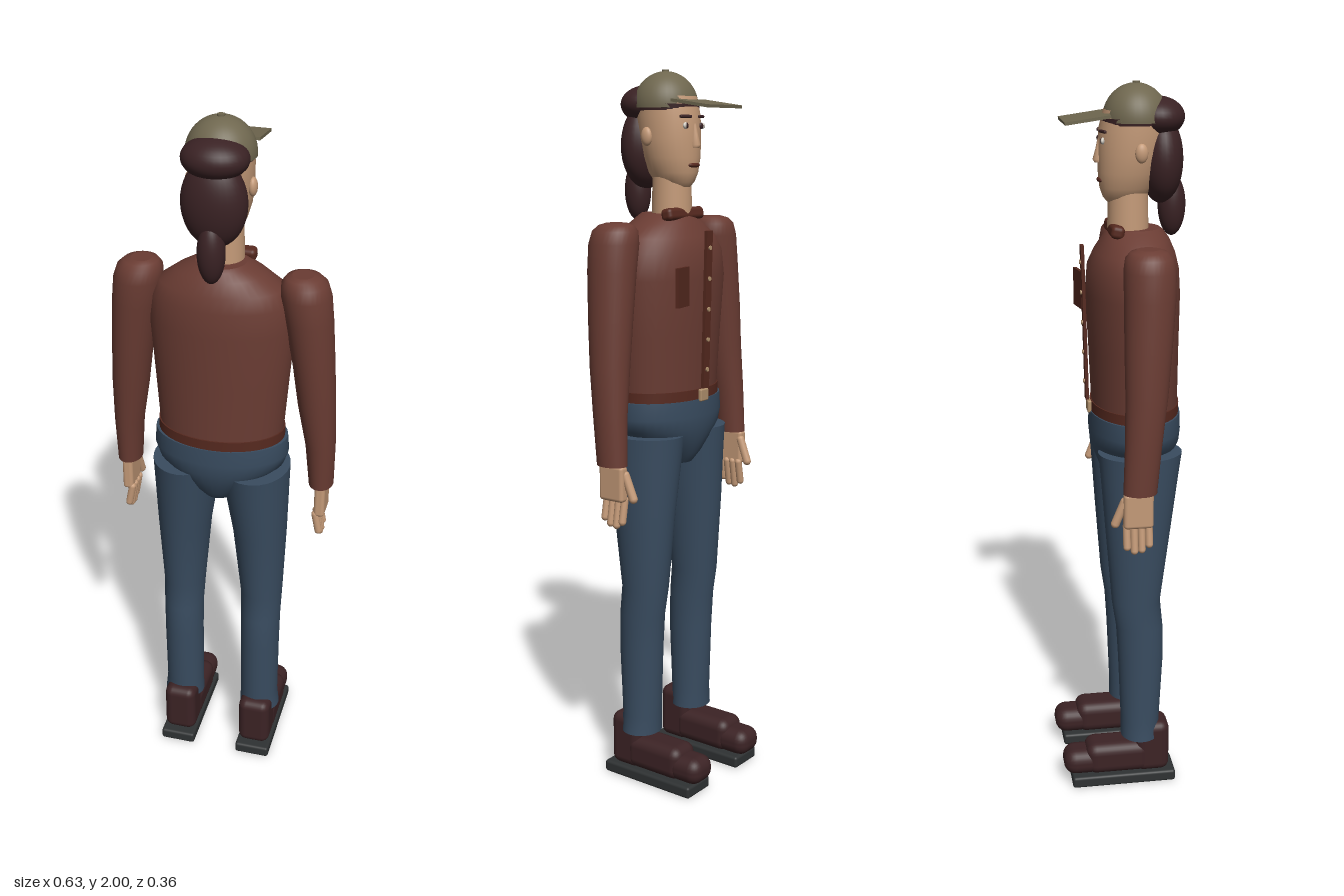
import * as THREE from 'three';
import { RoundedBoxGeometry } from 'three/addons/geometries/RoundedBoxGeometry.js';

const mat = (name, color) => {
  const m = new THREE.MeshStandardMaterial({ color });
  m.name = name;
  return m;
};

// Closed body of elliptical rings [y, centreX, centreZ, radiusX, radiusZ], bottom to top
function loft(rings, n = 32) {
  const pos = [], idx = [];
  const addRing = ([y, cx, cz, rx, rz]) => {
    for (let i = 0; i < n; i++) {
      const a = (i / n) * Math.PI * 2;
      pos.push(cx + rx * Math.cos(a), y, cz + rz * Math.sin(a));
    }
  };
  rings.forEach(addRing);
  for (let j = 0; j < rings.length - 1; j++) {
    for (let i = 0; i < n; i++) {
      const k = (i + 1) % n, a = j * n + i, c = j * n + k;
      idx.push(a, a + n, c, c, a + n, c + n);
    }
  }
  // flat end caps with their own vertices
  [rings[0], rings[rings.length - 1]].forEach((r, top) => {
    const base = pos.length / 3;
    addRing(r);
    pos.push(r[1], r[0], r[2]);
    for (let i = 0; i < n; i++) {
      const k = (i + 1) % n;
      if (top) idx.push(base + n, base + k, base + i);
      else idx.push(base + n, base + i, base + k);
    }
  });
  const g = new THREE.BufferGeometry();
  g.setAttribute('position', new THREE.Float32BufferAttribute(pos, 3));
  g.setIndex(idx);
  g.computeVertexNormals();
  return g;
}

export function createModel() {
  const skin = mat('skin', 0xc49a78), hair = mat('hair', 0x3a2224);
  const shirt = mat('shirt', 0x6a3c33), trim = mat('shirt trim', 0x56291f);
  const jeans = mat('denim', 0x394c60), boot = mat('boot leather', 0x3c2325);
  const sole = mat('sole rubber', 0x2f3233), cap = mat('cap cloth', 0x6f674f);
  const white = mat('eye white', 0xd8d2c8), brass = mat('brass', 0xb0906c);

  const root = new THREE.Group();
  root.name = 'standingFigure';
  const group = (name, parent = root) => {
    const g = new THREE.Group();
    g.name = name;
    parent.add(g);
    return g;
  };
  const add = (parent, name, geo, material, p = [0, 0, 0], r = [0, 0, 0]) => {
    const m = new THREE.Mesh(geo, material);
    m.name = name;
    m.position.set(...p);
    m.rotation.set(...r);
    parent.add(m);
    return m;
  };
  const ball = (rx, ry, rz) => new THREE.SphereGeometry(1, 32, 20).scale(rx, ry, rz);
  const rbox = (w, h, d, r) => new RoundedBoxGeometry(w, h, d, 3, r);
  // Rounded rod from point a to point b
  const rod = (parent, name, a, b, r, material) => {
    const A = new THREE.Vector3(...a), B = new THREE.Vector3(...b);
    const d = B.clone().sub(A);
    const m = add(parent, name, new THREE.CapsuleGeometry(r, d.length() - r * 2, 5, 12), material);
    m.position.copy(A).add(B).multiplyScalar(0.5);
    m.quaternion.setFromUnitVectors(new THREE.Vector3(0, 1, 0), d.normalize());
  };

  // Torso and hips
  const body = group('body');
  add(body, 'torso', loft([
    [1.14, 0, 0.043, 0.172, 0.118], [1.3, 0, 0.04, 0.184, 0.122], [1.45, 0, 0.037, 0.196, 0.127],
    [1.52, 0, 0.038, 0.188, 0.122], [1.56, 0, 0.042, 0.166, 0.108], [1.595, 0, 0.045, 0.118, 0.09],
    [1.615, 0, 0.045, 0.08, 0.075], [1.622, 0, 0.045, 0.068, 0.066]], 40), shirt);
  add(body, 'shirtHem', loft([[1.112, 0, 0.043, 0.176, 0.122], [1.145, 0, 0.043, 0.176, 0.122]], 40), trim);
  add(body, 'pelvis', loft([
    [0.93, 0, 0.04, 0.055, 0.075], [0.96, 0, 0.041, 0.085, 0.098], [1.0, 0, 0.042, 0.135, 0.114],
    [1.035, 0, 0.043, 0.176, 0.124], [1.07, 0, 0.043, 0.188, 0.127], [1.117, 0, 0.043, 0.184, 0.125]], 40), jeans);

  // Shirt front
  add(body, 'collar', rbox(0.158, 0.034, 0.036, 0.012), trim, [0, 1.62, -0.012], [0.2, 0, 0]);
  add(body, 'placket', new THREE.BoxGeometry(0.026, 0.43, 0.009), trim, [0, 1.363, -0.094], [-0.025, 0, 0]);
  for (let i = 0; i < 5; i++) {
    add(body, 'button', new THREE.CylinderGeometry(0.006, 0.006, 0.005, 12), brass,
      [0, 1.2 + i * 0.083, -0.096 - i * 0.002], [Math.PI / 2, 0, 0]);
  }
  add(body, 'chestPocket', new THREE.BoxGeometry(0.068, 0.105, 0.009), trim, [0.112, 1.435, -0.095], [0, 0.2, 0]);
  add(body, 'buckle', rbox(0.036, 0.034, 0.012, 0.004), brass, [0, 1.128, -0.083]);

  for (const s of [1, -1]) {
    const side = s > 0 ? 'right' : 'left';
    const mirror = rings => rings.map(([y, x, ...rest]) => [y, s * x, ...rest]);

    // Arm
    const arm = group(side + 'Arm');
    add(arm, 'sleeve', loft(mirror([
      [0.967, 0.278, 0.016, 0.034, 0.045], [1.1, 0.273, 0.025, 0.041, 0.049], [1.23, 0.26, 0.035, 0.051, 0.056],
      [1.35, 0.249, 0.04, 0.056, 0.062], [1.48, 0.234, 0.046, 0.063, 0.067], [1.55, 0.224, 0.047, 0.066, 0.068],
      [1.583, 0.219, 0.046, 0.06, 0.062], [1.598, 0.216, 0.045, 0.046, 0.048], [1.604, 0.214, 0.045, 0.028, 0.03]])), shirt);

    // Hand
    const hand = group(side + 'Hand', arm);
    add(hand, 'palm', rbox(0.03, 0.1, 0.08, 0.01), skin, [s * 0.28, 0.92, 0.011]);
    for (let i = 0; i < 4; i++) {
      const z = -0.019 + i * 0.02, tip = [0.805, 0.793, 0.796, 0.81][i];
      rod(hand, 'finger', [s * 0.267, 0.885, z], [s * 0.282, tip, z], 0.0105, skin);
    }
    rod(hand, 'thumb', [s * 0.273, 0.955, -0.02], [s * 0.27, 0.87, -0.054], 0.012, skin);

    // Leg
    const leg = group(side + 'Leg');
    add(leg, 'trouserLeg', loft(mirror([
      [0.145, 0.12, 0.045, 0.06, 0.056], [0.2, 0.118, 0.045, 0.056, 0.056], [0.4, 0.118, 0.046, 0.057, 0.065],
      [0.5, 0.118, 0.042, 0.058, 0.067], [0.58, 0.117, 0.032, 0.061, 0.069], [0.8, 0.111, 0.038, 0.076, 0.092],
      [0.95, 0.101, 0.043, 0.09, 0.108], [1.02, 0.098, 0.045, 0.095, 0.116]])), jeans);

    // Boot
    const foot = group(side + 'Boot', leg);
    add(foot, 'sole', rbox(0.104, 0.034, 0.305, 0.008), sole, [s * 0.119, 0.017, -0.007]);
    add(foot, 'bootShaft', rbox(0.096, 0.158, 0.1, 0.025), boot, [s * 0.118, 0.112, 0.078]);
    add(foot, 'bootInstep', rbox(0.1, 0.096, 0.19, 0.03), boot, [s * 0.118, 0.082, -0.022]);
    add(foot, 'bootToe', rbox(0.096, 0.076, 0.11, 0.034), boot, [s * 0.118, 0.072, -0.127]);
  }

  // Head and face
  const head = group('head');
  add(head, 'neck', new THREE.CylinderGeometry(0.052, 0.056, 0.16, 32), skin, [0, 1.67, 0.025]);
  add(head, 'skull', loft([
    [1.692, 0, 0.012, 0.03, 0.043], [1.705, 0, 0.016, 0.046, 0.058], [1.73, 0, 0.02, 0.06, 0.071],
    [1.77, 0, 0.026, 0.073, 0.081], [1.82, 0, 0.032, 0.08, 0.087], [1.88, 0, 0.037, 0.082, 0.09],
    [1.93, 0, 0.04, 0.08, 0.08]]), skin);
  add(head, 'nose', loft([
    [1.795, 0, -0.052, 0.011, 0.012], [1.803, 0, -0.054, 0.013, 0.015],
    [1.83, 0, -0.052, 0.009, 0.009], [1.858, 0, -0.05, 0.006, 0.005]], 12), skin);
  add(head, 'mouth', ball(0.024, 0.007, 0.009), trim, [0, 1.75, -0.049]);
  for (const s of [1, -1]) {
    add(head, 'ear', ball(0.012, 0.025, 0.017), skin, [s * 0.081, 1.825, 0.048]);
    add(head, 'eye', ball(0.016, 0.009, 0.005), white, [s * 0.033, 1.853, -0.046], [0, s * 0.3, 0]);
    add(head, 'pupil', ball(0.007, 0.008, 0.004), hair, [s * 0.032, 1.853, -0.049], [0, s * 0.3, 0]);
    add(head, 'eyebrow', rbox(0.038, 0.008, 0.008, 0.003), hair, [s * 0.034, 1.877, -0.047], [0, -s * 0.3, 0]);
  }

  // Hair
  add(head, 'backHair', ball(0.085, 0.115, 0.058), hair, [0, 1.8, 0.113]);
  add(head, 'crownHair', ball(0.086, 0.052, 0.072), hair, [0, 1.91, 0.102]);
  add(head, 'ponytail', ball(0.036, 0.082, 0.037), hair, [0, 1.68, 0.143]);
  add(head, 'fringe', loft([[1.893, 0, 0.04, 0.083, 0.087], [1.91, 0, 0.04, 0.085, 0.087]]), hair);

  // Cap
  const hat = group('cap', head);
  add(hat, 'capDome', new THREE.SphereGeometry(1, 36, 16, 0, Math.PI * 2, 0, Math.PI / 2).scale(0.09, 0.092, 0.087),
    cap, [0, 1.904, 0.045]);
  add(hat, 'capRim', loft([[1.9, 0, 0.045, 0.09, 0.087], [1.905, 0, 0.045, 0.09, 0.087]], 36), cap);
  add(hat, 'capButton', new THREE.CylinderGeometry(0.01, 0.01, 0.008, 16), cap, [0, 1.996, 0.046]);
  add(hat, 'capBrim', new THREE.BoxGeometry(0.158, 0.008, 0.12), cap, [0, 1.91, -0.09], [-0.14, 0, 0]);

  return root;
}
